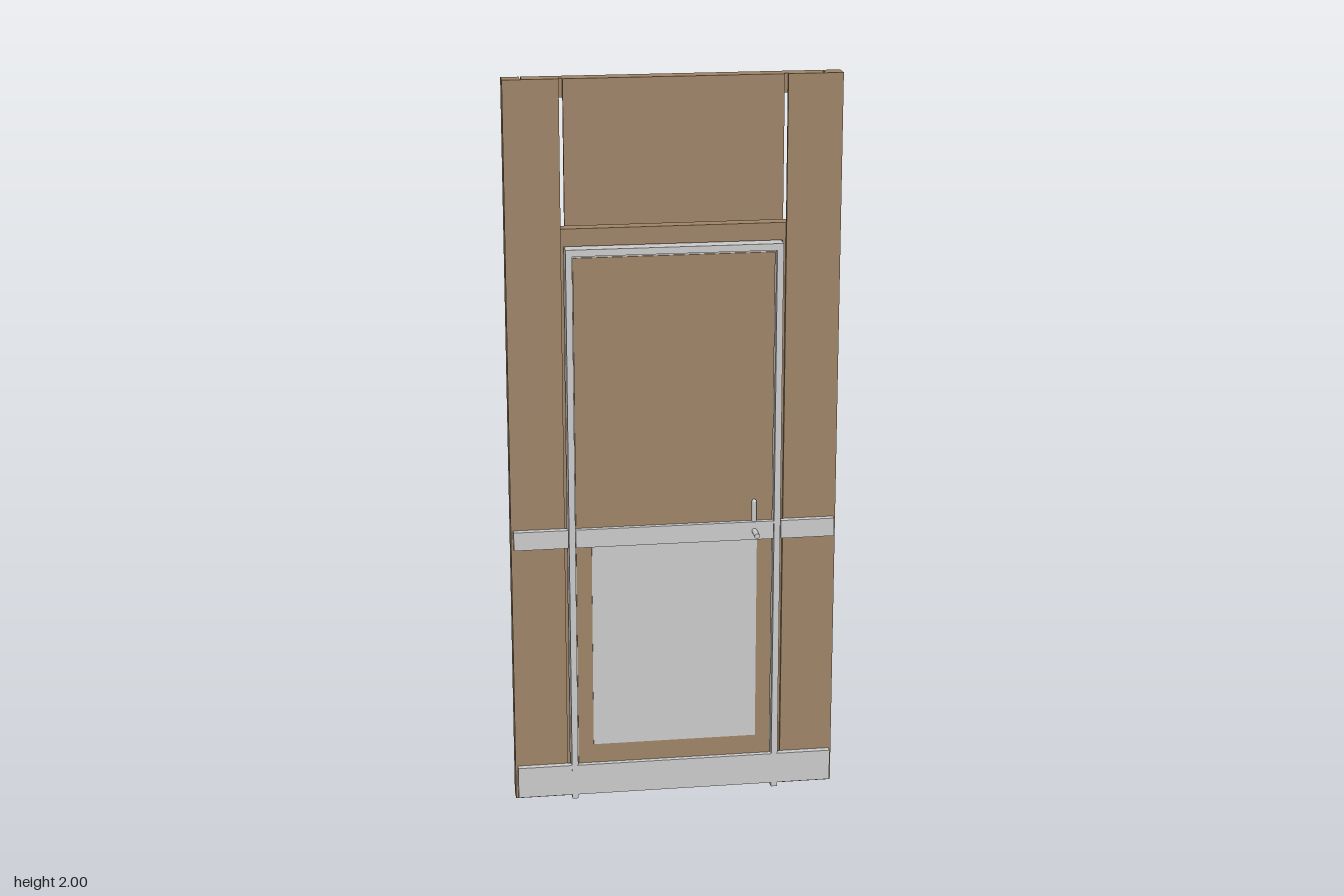
import * as THREE from 'three';

const wood = new THREE.MeshStandardMaterial({ color: 0x9e8468 });
const metal = new THREE.MeshStandardMaterial({ color: 0xcccccc });

export function createModel() {
  const model = new THREE.Group();
  model.name = 'doorWall';

  // Box given by its extents on each axis
  function box(name, [x0, x1], [y0, y1], [z0, z1], material) {
    const mesh = new THREE.Mesh(new THREE.BoxGeometry(x1 - x0, y1 - y0, z1 - z0), material);
    mesh.position.set((x0 + x1) / 2, (y0 + y1) / 2, (z0 + z1) / 2);
    mesh.name = name;
    model.add(mesh);
    return mesh;
  }
  // The same box on both sides of the wall
  function pair(name, [x0, x1], y, z, material) {
    box(name + 'Left', [x0, x1], y, z, material);
    box(name + 'Right', [-x1, -x0], y, z, material);
  }

  const skin = [-0.017, -0.006];
  const stud = [-0.055, -0.017];
  const trim = [-0.006, 0.012];

  // Wall cladding
  pair('sidePanel', [0.298, 0.443], [0.003, 2], skin, wood);
  box('topPanel', [-0.288, 0.288], [1.617, 2], skin, wood);

  // Timber framing behind the cladding
  pair('outerPost', [0.396, 0.443], [0, 2], stud, wood);
  pair('innerPost', [0.29, 0.338], [0, 1.56], stud, wood);
  box('topRail', [-0.392, 0.392], [1.95, 2], stud, wood);
  box('header', [-0.338, 0.338], [1.56, 1.607], stud, wood);

  // Metal door frame
  const frameDepth = [-0.058, 0.012];
  pair('doorJamb', [0.271, 0.288], [0, 1.557], frameDepth, metal);
  box('doorFrameHead', [-0.271, 0.271], [1.539, 1.557], frameDepth, metal);
  pair('doorStop', [0.266, 0.271], [0.012, 1.539], [-0.024, -0.006], metal);
  box('headStop', [-0.271, 0.271], [1.53, 1.539], [-0.024, -0.006], metal);

  // Door leaf with its kick plate
  box('doorLeaf', [-0.268, 0.268], [0.012, 1.532], [-0.026, -0.002], wood);
  box('kickPlate', [-0.226, 0.226], [0.155, 0.74], [-0.002, 0], metal);

  // Horizontal protection rails
  pair('sideGuardRail', [0.29, 0.437], [0.737, 0.788], trim, metal);
  box('doorGuardRail', [-0.27, 0.27], [0.737, 0.788], trim, metal);
  pair('sideSkirting', [0.288, 0.437], [0.012, 0.1], trim, metal);
  box('doorSkirting', [-0.288, 0.288], [0.012, 0.1], [-0.002, 0.0125], metal);

  // Hinges on the back
  [0.25, 0.82, 1.39].forEach((y, i) => {
    box('hinge' + (i + 1), [-0.272, -0.26], [y - 0.03, y + 0.03], [-0.037, -0.026], metal);
  });

  // Door handle: upright lever and a projecting spindle
  const lever = new THREE.Mesh(new THREE.CapsuleGeometry(0.007, 0.1, 4, 12), metal);
  lever.name = 'handleLever';
  lever.position.set(0.217, 0.793, 0.003);
  model.add(lever);

  const spindle = new THREE.Mesh(new THREE.CylinderGeometry(0.0075, 0.0075, 0.056, 12), metal);
  spindle.name = 'handleSpindle';
  spindle.rotation.x = Math.PI / 2;
  spindle.position.set(0.217, 0.762, 0.03);
  model.add(spindle);

  return model;
}
